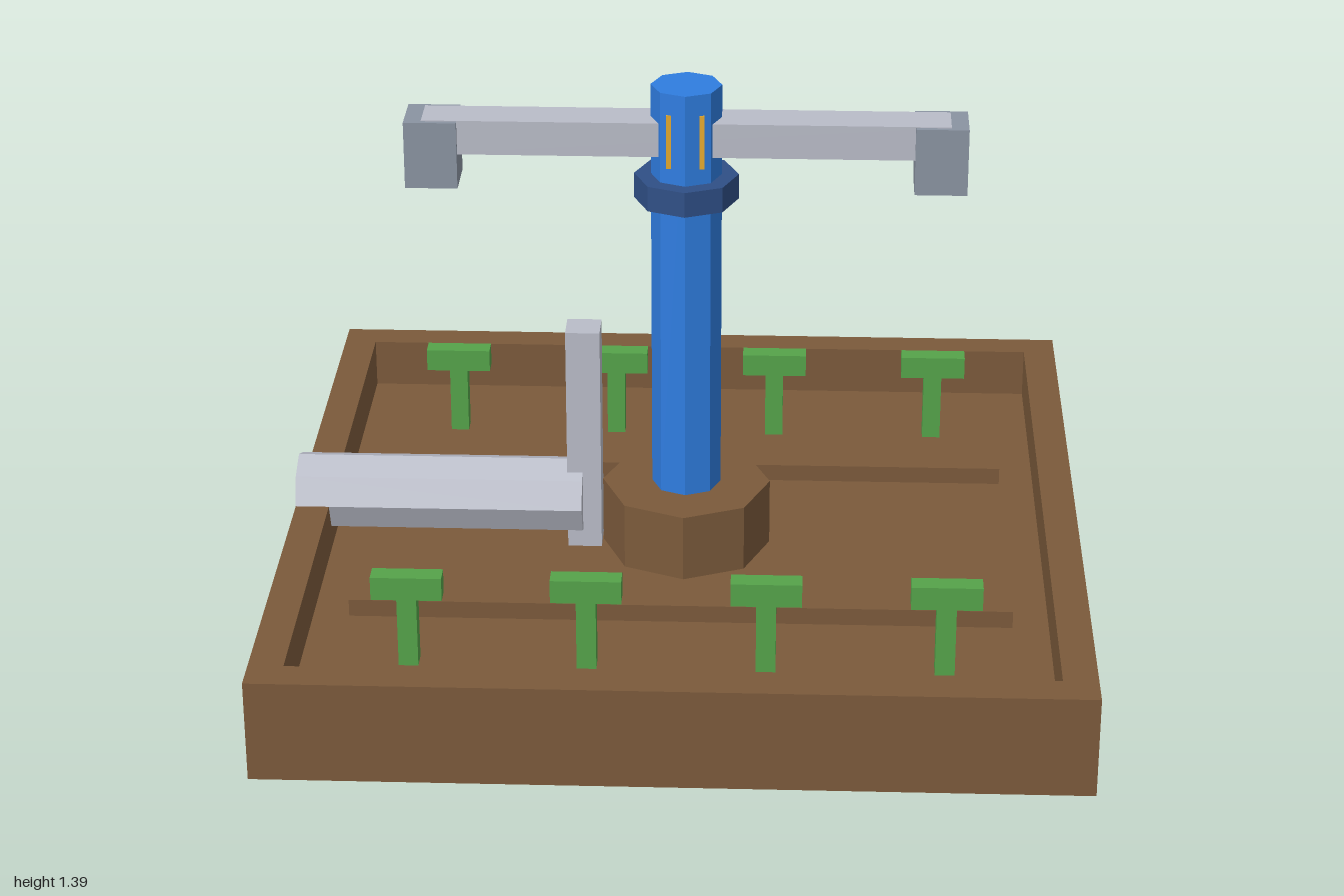
import * as THREE from 'three';

export function createModel() {
  const model = new THREE.Group();
  const flat = (name, color) => {
    const m = new THREE.MeshStandardMaterial({ color, flatShading: true });
    m.name = name;
    return m;
  };
  const soil = flat('brown', 0x7b5a3b);
  const blue = flat('blue', 0x2f7de0);
  const navy = flat('dark blue', 0x2f4f86);
  const green = flat('leaf green', 0x55a34a);
  const grey = flat('light grey', 0xb9bcc8);
  const slate = flat('slate grey', 0x8a93a1);
  const amber = flat('amber', 0xe5a92e);

  const add = (name, geometry, material, x, y, z, parent = model) => {
    const mesh = new THREE.Mesh(geometry, material);
    mesh.name = name;
    mesh.position.set(x, y, z);
    parent.add(mesh);
    return mesh;
  };
  // box and octagonal prism given by their bottom and top heights
  const box = (name, mat, w, d, y0, y1, x = 0, z = 0, parent = model) =>
    add(name, new THREE.BoxGeometry(w, y1 - y0, d), mat, x, (y0 + y1) / 2, z, parent);
  const prism = (name, mat, r, y0, y1) =>
    add(name, new THREE.CylinderGeometry(r, r, y1 - y0, 8), mat, 0, (y0 + y1) / 2, 0);

  const FLOOR = 0.13;
  const RIM = 0.26;
  const INNER = 0.915;

  // Square tray: rim frame with a sunken floor
  const square = (target, s) => {
    target.moveTo(-s, -s).lineTo(s, -s).lineTo(s, s).lineTo(-s, s).closePath();
    return target;
  };
  const frame = square(new THREE.Shape(), 1);
  frame.holes.push(square(new THREE.Path(), INNER));
  const rimGeo = new THREE.ExtrudeGeometry(frame, { depth: RIM, bevelEnabled: false });
  rimGeo.rotateX(-Math.PI / 2);
  add('trayRim', rimGeo, soil, 0, 0, 0);
  box('trayFloor', soil, INNER * 2, INNER * 2, 0, FLOOR);

  // Soil ridges
  for (const s of [-1, 1]) box('soilRidge', soil, 1.65, 0.085, FLOOR, 0.175, 0, s * 0.393);

  // Central column
  prism('plinth', soil, 0.215, FLOOR, 0.305);
  prism('column', blue, 0.088, 0.305, 1.39);
  prism('collar', navy, 0.13, 1.09, 1.155);

  // Cross arm with drop ends
  box('crossArm', grey, 1.3, 0.105, 1.218, 1.306);
  for (const s of [-1, 1]) box('armEnd', slate, 0.13, 0.13, 1.132, 1.304, s * 0.628);

  // Thin amber strips on the column's front and back facets
  for (const sx of [-1, 1]) {
    for (const sz of [-1, 1]) box('amberStrip', amber, 0.012, 0.016, 1.197, 1.335, sx * 0.041, sz * 0.068);
  }

  // Inlet pipe lying across the rim, and its upright post
  const pipeGeo = new THREE.CylinderGeometry(0.1, 0.1, 0.736, 8);
  pipeGeo.rotateZ(Math.PI / 2);
  add('inletPipe', pipeGeo, grey, -0.633, 0.26, 0);
  box('post', grey, 0.087, 0.087, FLOOR, 0.735, -0.261);

  // Two rows of seedlings
  for (const z of [-0.652, 0.652]) {
    for (const x of [-0.65, -0.217, 0.217, 0.65]) {
      const seedling = new THREE.Group();
      seedling.name = 'seedling';
      seedling.position.set(x, 0, z);
      box('stem', green, 0.048, 0.048, FLOOR, 0.31, 0, 0, seedling);
      box('leaves', green, 0.172, 0.05, 0.31, 0.37, 0, 0, seedling);
      model.add(seedling);
    }
  }

  return model;
}
